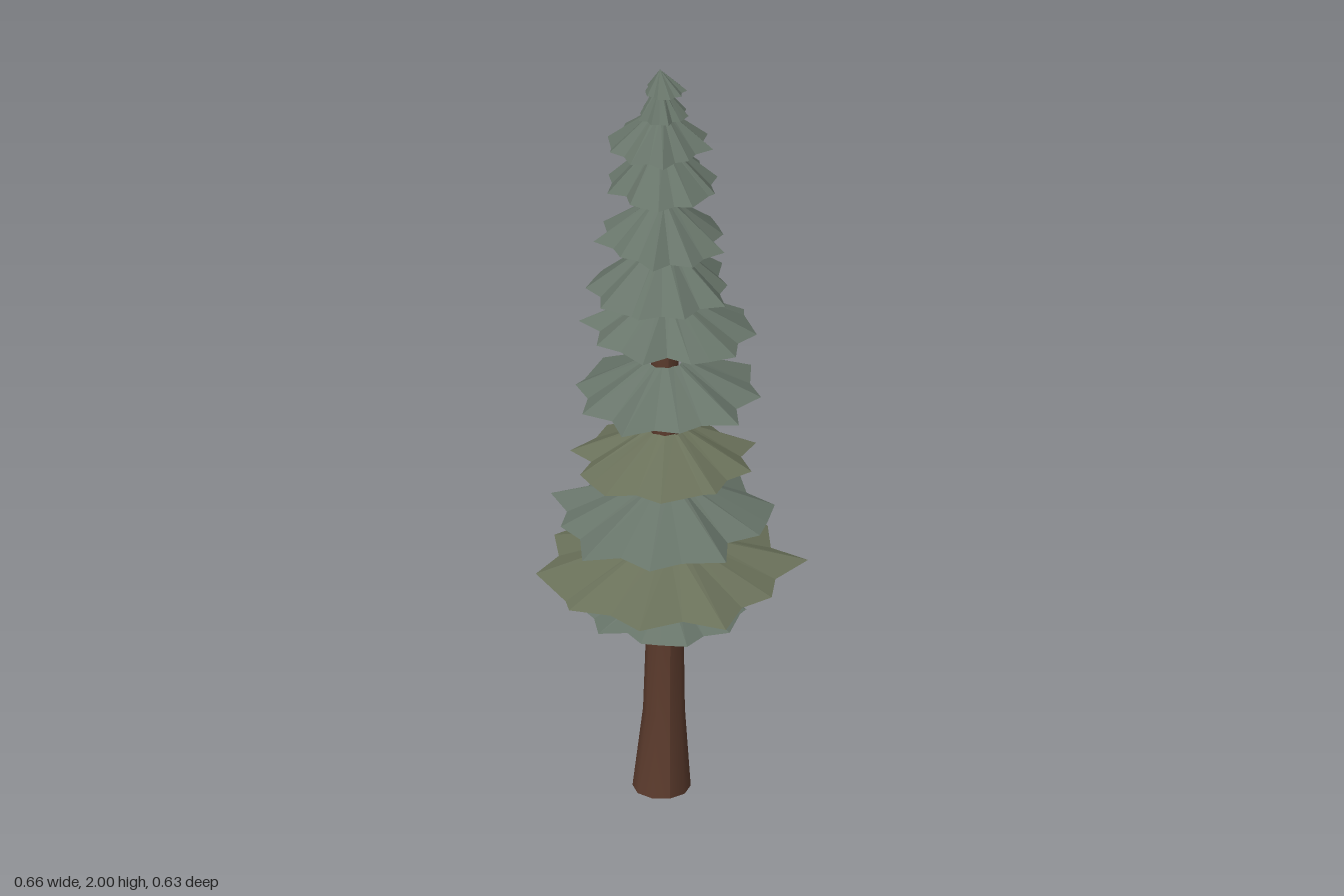
import * as THREE from 'three';

const bark = new THREE.MeshStandardMaterial({ color: 0x5a3a2c });
const needles = { side: THREE.DoubleSide, flatShading: true };
const blueGreen = new THREE.MeshStandardMaterial({ color: 0x68756a, ...needles });
const olive = new THREE.MeshStandardMaterial({ color: 0x6a715a, ...needles });

// Trunk stations from bottom to top: y, radius, centre x, centre z
const TRUNK = [
  [0, 0.071, -0.029, -0.018],
  [0.21, 0.051, -0.02, -0.028],
  [0.47, 0.045, -0.018, -0.025],
  [1.0, 0.036, -0.018, -0.018],
  [1.6, 0.028, -0.029, -0.016],
  [1.93, 0.018, -0.034, -0.015],
];

// Trunk position and radius at a given height
function trunkAt(y) {
  let i = 0;
  while (i < TRUNK.length - 2 && y > TRUNK[i + 1][0]) i++;
  const a = TRUNK[i], b = TRUNK[i + 1];
  const t = Math.min(1, (y - a[0]) / (b[0] - a[0]));
  return a.map((v, k) => v + (b[k] - v) * t);
}

// Irregular ten-pointed outline (x, z), tips and notches alternating
const STAR = [
  [0.33, 0.035], [0.225, 0.105], [0.19, 0.19], [0.105, 0.22], [0.035, 0.315],
  [-0.055, 0.245], [-0.17, 0.26], [-0.215, 0.165], [-0.305, 0.11], [-0.3, 0.065],
  [-0.33, -0.09], [-0.25, -0.16], [-0.23, -0.265], [-0.13, -0.3], [-0.055, -0.32],
  [0.03, -0.265], [0.13, -0.32], [0.2, -0.215], [0.285, -0.16], [0.26, -0.05],
];

// Tiers: bottom y, top y, top radius, x min, x max, z min, z max, tilt along x
const TIERS = [
  [0.475, 0.55, 0.05, -0.208, 0.178, -0.228, 0.154, 0],
  [0.6, 0.685, 0.075, -0.328, 0.328, -0.318, 0.315, 0],
  [0.75, 0.85, 0.054, -0.28, 0.252, -0.292, 0.25, 0],
  [0.908, 1.0, 0.05, -0.24, 0.215, -0.244, 0.192, 0.01],
  [1.095, 1.19, 0.05, -0.24, 0.215, -0.255, 0.202, 0.045],
  [1.28, 1.37, 0.045, -0.22, 0.194, -0.233, 0.186, -0.05],
  [1.393, 1.51, 0.034, -0.21, 0.146, -0.19, 0.16, 0],
  [1.523, 1.63, 0.032, -0.194, 0.125, -0.186, 0.138, -0.03],
  [1.683, 1.79, 0.028, -0.172, 0.109, -0.149, 0.127, 0.01],
  [1.79, 1.88, 0.025, -0.162, 0.093, -0.143, 0.11, 0],
  [1.875, 1.94, 0.018, -0.093, 0.035, -0.07, 0.048, 0],
  [1.94, 2.0, 0, -0.072, 0.03, -0.064, 0.037, 0],
];

// Pleated open skirt running from a ring at the trunk to a star-shaped hem
function tierGeometry([y0, y1, rTop, x0, x1, z0, z1, tilt], turn) {
  const c = Math.cos(turn), s = Math.sin(turn);
  const hem = STAR.map(([x, z]) => [x * c - z * s, x * s + z * c]);
  const fit = (k, lo, hi) => {
    const v = hem.map((p) => p[k]);
    const min = Math.min(...v), max = Math.max(...v);
    hem.forEach((p) => { p[k] = lo + ((p[k] - min) / (max - min)) * (hi - lo); });
  };
  fit(0, x0, x1);
  fit(1, z0, z1);

  const [, , cx, cz] = trunkAt(y1);
  const pos = [], index = [], n = hem.length;
  hem.forEach(([x, z], i) => {
    const a = Math.atan2(z - cz, x - cx);
    const r = rTop * (i % 2 ? 0.9 : 1);
    pos.push(x, y0 + tilt * (x - cx), z);
    pos.push(cx + r * Math.cos(a), y1, cz + r * Math.sin(a));
    const b = 2 * i, d = 2 * ((i + 1) % n);
    index.push(b, b + 1, d);
    if (rTop > 0) index.push(d, b + 1, d + 1);
  });
  const g = new THREE.BufferGeometry();
  g.setAttribute('position', new THREE.Float32BufferAttribute(pos, 3));
  g.setIndex(index);
  g.computeVertexNormals();
  return g;
}

// Slightly wandering trunk, flared at the foot
function trunkGeometry() {
  const rows = TRUNK.length - 1;
  const g = new THREE.CylinderGeometry(1, 1, 1, 10, rows);
  const p = g.attributes.position;
  for (let i = 0; i < p.count; i++) {
    const [y, r, cx, cz] = TRUNK[Math.round((p.getY(i) + 0.5) * rows)];
    p.setXYZ(i, cx + p.getX(i) * r, y, cz + p.getZ(i) * r);
  }
  g.computeVertexNormals();
  return g;
}

export function createModel() {
  const tree = new THREE.Group();
  tree.name = 'coniferTree';

  const trunk = new THREE.Mesh(trunkGeometry(), bark);
  trunk.name = 'trunk';
  tree.add(trunk);

  // Branch tiers, each turned differently around the trunk
  const branches = new THREE.Group();
  branches.name = 'branches';
  TIERS.forEach((tier, i) => {
    const material = i === 1 || i === 3 ? olive : blueGreen;
    const mesh = new THREE.Mesh(tierGeometry(tier, (i - 1) * 2.4), material);
    mesh.name = `branchTier${i + 1}`;
    branches.add(mesh);
  });
  tree.add(branches);
  return tree;
}
